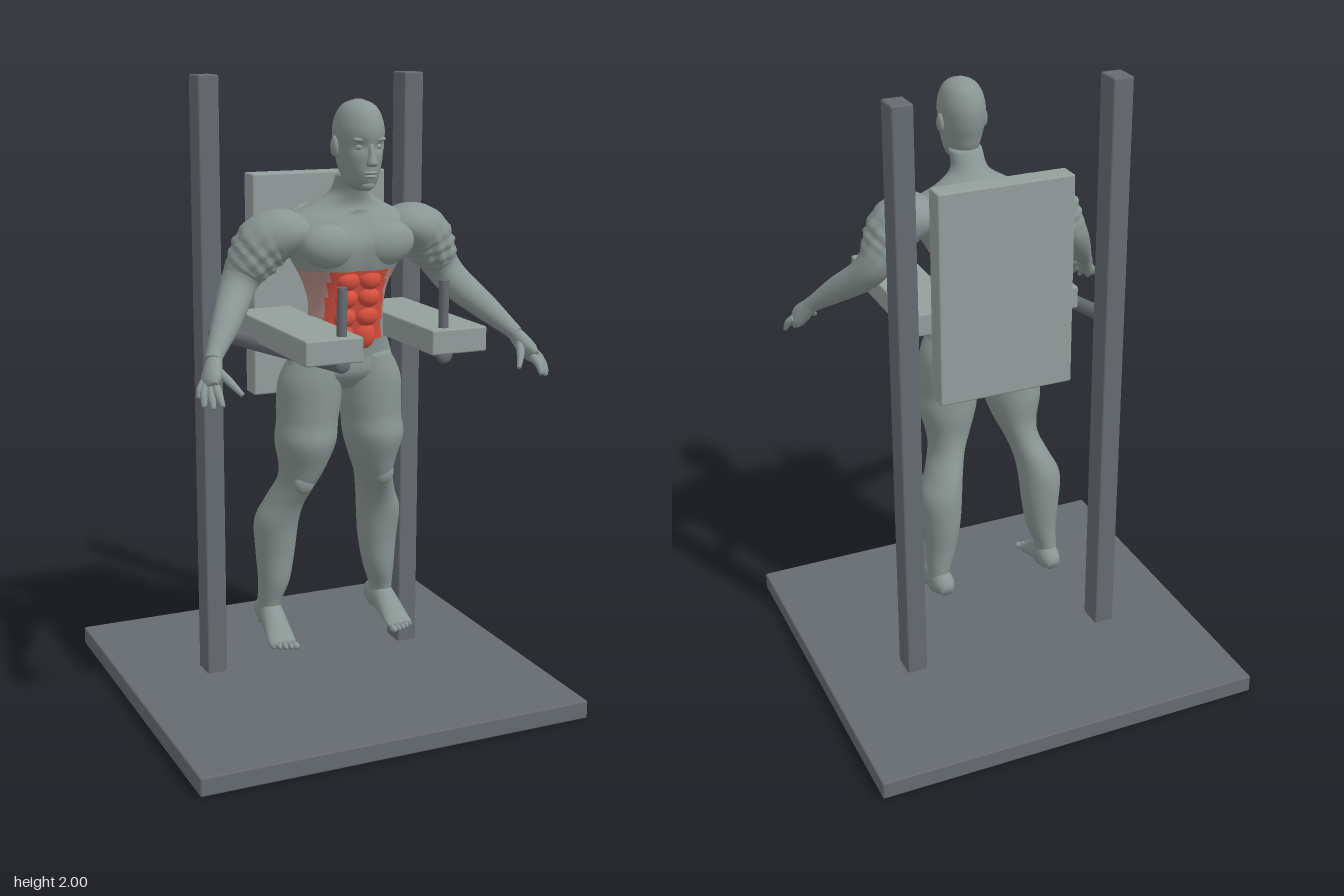
import * as THREE from 'three';
import { RoundedBoxGeometry } from 'three/addons/geometries/RoundedBoxGeometry.js';

const mat = (name, color, side = THREE.FrontSide) => {
  const m = new THREE.MeshStandardMaterial({ color, side });
  m.name = name;
  return m;
};

export function createModel() {
  const root = new THREE.Group();
  root.name = 'exerciseStation';
  const frame = mat('frameGrey', 0x666b70);
  const pad = mat('padGrey', 0x949f9c);
  const skin = mat('bodyGrey', 0x8a9693);
  const red = mat('absRed', 0xd9503f);
  const pink = mat('flankPink', 0xb8908a);
  const V = (x, y, z) => new THREE.Vector3(x, y, z);

  const add = (name, geo, material, parent = root) => {
    const m = new THREE.Mesh(geo, material);
    m.name = name;
    parent.add(m);
    return m;
  };
  // box given by its limits on each axis
  const box = (name, x0, x1, y0, y1, z0, z1, material, r = 0.006) => {
    const m = add(name, new RoundedBoxGeometry(x1 - x0, y1 - y0, z1 - z0, 2, r), material);
    m.position.set((x0 + x1) / 2, (y0 + y1) / 2, (z0 + z1) / 2);
  };
  const ball = (name, p, r, material, parent, rotZ = 0) => {
    const m = add(name, new THREE.SphereGeometry(1, 24, 16), material, parent);
    m.position.set(...p);
    m.scale.set(...r);
    m.rotation.z = rotZ;
    return m;
  };

  // Smooth skin through rings [x, y, z, halfWidth, halfDepth];
  // level keeps the rings horizontal, paint(point) picks a material index per face
  function loft(rings, { steps = 5, sides = 32, level = false, ref = V(0, 0, 1), move, paint } = {}) {
    const path = new THREE.CatmullRomCurve3(rings.map(r => V(r[0], r[1], r[2])), false, 'catmullrom');
    const size = new THREE.CatmullRomCurve3(rings.map(r => V(r[3], r[4], 0)), false, 'catmullrom');
    const n = (rings.length - 1) * steps;
    const pts = [], index = [];
    for (let i = 0; i <= n; i++) {
      const c = path.getPoint(i / n), s = size.getPoint(i / n);
      const t = level ? V(0, 1, 0) : path.getTangent(i / n);
      const side = V(0, 0, 0).crossVectors(t, ref).normalize();
      const fwd = V(0, 0, 0).crossVectors(side, t);
      for (let j = 0; j < sides; j++) {
        const a = (j / sides) * Math.PI * 2;
        const p = c.clone().addScaledVector(side, s.x * Math.sin(a)).addScaledVector(fwd, s.y * Math.cos(a));
        if (move) move(p, i / n, a, c);
        pts.push(p);
      }
    }
    const first = pts.push(path.getPoint(0)) - 1, last = pts.push(path.getPoint(1)) - 1;
    const buckets = [[], [], []];
    const tri = (a, b, c, k) => buckets[k].push(a, b, c);
    for (let j = 0; j < sides; j++) {
      const k = (j + 1) % sides;
      tri(first, k, j, 0);
      for (let i = 0; i < n; i++) {
        const a = i * sides + j, b = i * sides + k, c = b + sides, d = a + sides;
        const g = paint ? paint(pts[a].clone().add(pts[c]).multiplyScalar(0.5)) : 0;
        tri(a, b, c, g);
        tri(a, c, d, g);
      }
      tri(last, n * sides + j, n * sides + k, 0);
    }
    const geo = new THREE.BufferGeometry().setFromPoints(pts);
    buckets.forEach((b, g) => {
      if (paint) geo.addGroup(index.length, b.length, g);
      for (const v of b) index.push(v);
    });
    geo.setIndex(index);
    geo.computeVertexNormals();
    return geo;
  }

  // Frame and pads
  box('basePlate', -0.65, 0.65, 0, 0.06, -0.622, 0.622, frame);
  box('backPad', -0.226, 0.226, 1.0, 1.7, -0.088, -0.014, pad);
  for (const s of [1, -1]) {
    const X = (a, b) => (s > 0 ? [a, b] : [-b, -a]);
    box('post', ...X(0.315, 0.383), 0.05, 2, -0.145, -0.058, frame);
    box('armPad', ...X(0.11, 0.29), 1.21, 1.285, 0, 0.55, pad);
    const grip = add('handGrip', new THREE.CylinderGeometry(0.015, 0.015, 0.15, 20), frame);
    grip.position.set(s * 0.163, 1.35, 0.515);
    const bar = new THREE.LineCurve3(V(s * 0.352, 1.206, -0.1), V(s * 0.165, 1.202, 0.525));
    add('supportBar', new THREE.TubeGeometry(bar, 4, 0.024, 16), frame);
    ball('barEnd', [s * 0.165, 1.202, 0.523], [0.024, 0.024, 0.012], frame, root);
  }

  // Figure
  const body = new THREE.Group();
  body.name = 'figure';
  root.add(body);

  // Torso, with the worked belly in red and the flanks in pink
  const paint = p => {
    const x = Math.abs(p.x);
    if (p.z > 0.17 && x < 0.095 && p.y > 1.185 + x * 0.3 && p.y < 1.43) return 1;
    return p.z > 0.1 && p.y > 1.28 && p.y < 1.425 ? 2 : 0;
  };
  add('torso', loft([
    [0, 1.05, 0.14, 0.07, 0.06], [0, 1.10, 0.145, 0.17, 0.095], [0, 1.16, 0.147, 0.165, 0.096],
    [0, 1.22, 0.165, 0.14, 0.09], [0, 1.30, 0.185, 0.12, 0.09], [0, 1.38, 0.182, 0.135, 0.108],
    [0, 1.46, 0.19, 0.18, 0.122], [0, 1.52, 0.19, 0.215, 0.125], [0, 1.58, 0.18, 0.2, 0.1],
    [0, 1.62, 0.18, 0.125, 0.075], [0, 1.66, 0.205, 0.062, 0.06], [0, 1.72, 0.24, 0.052, 0.055],
  ], {
    level: true, sides: 48, paint,
    // spine and breastbone grooves
    move: (p, u, a, c) => {
      if (p.y > 1.2 && p.y < 1.6) p.z -= Math.sign(p.z - c.z) * 0.014 * Math.exp(-((p.x / 0.025) ** 2));
    },
  }), [skin, red, pink], body);

  // Head
  add('head', loft([
    [0, 1.672, 0.295, 0.022, 0.035], [0, 1.69, 0.285, 0.042, 0.06], [0, 1.72, 0.278, 0.054, 0.08],
    [0, 1.76, 0.273, 0.064, 0.088], [0, 1.80, 0.268, 0.07, 0.094], [0, 1.85, 0.268, 0.073, 0.097],
    [0, 1.895, 0.268, 0.062, 0.082], [0, 1.922, 0.268, 0.042, 0.054], [0, 1.936, 0.268, 0.01, 0.012],
  ], {
    level: true,
    // hollow the eye sockets
    move: p => {
      if (p.z > 0.3) p.z -= 0.013 * Math.exp(-(((Math.abs(p.x) - 0.03) / 0.016) ** 2) - ((p.y - 1.802) / 0.014) ** 2);
    },
  }), skin, body);
  add('nose', loft([
    [0, 1.745, 0.36, 0.013, 0.012], [0, 1.755, 0.365, 0.017, 0.019],
    [0, 1.78, 0.36, 0.01, 0.014], [0, 1.812, 0.352, 0.008, 0.01],
  ], { level: true, sides: 14 }), skin, body);
  ball('upperLip', [0, 1.727, 0.354], [0.023, 0.006, 0.012], skin, body);
  ball('lowerLip', [0, 1.716, 0.352], [0.02, 0.006, 0.012], skin, body);
  ball('chin', [0, 1.69, 0.333], [0.022, 0.016, 0.016], skin, body);

  // Stomach muscles
  [[1.4, 0.278], [1.345, 0.268], [1.285, 0.255], [1.225, 0.238]].forEach(([y, z], i) => {
    for (const s of [1, -1]) ball('abdominal', [s * 0.037, y, z], [0.036, i === 3 ? 0.045 : 0.031, 0.027], red, body);
  });

  for (const s of [1, -1]) {
    const flip = rings => rings.map(([x, ...r]) => [s * x, ...r]);
    ball('ear', [s * 0.073, 1.8, 0.262], [0.012, 0.031, 0.019], skin, body);
    ball('eye', [s * 0.03, 1.801, 0.338], [0.012, 0.009, 0.01], skin, body);
    ball('brow', [s * 0.03, 1.822, 0.345], [0.023, 0.008, 0.012], skin, body, s * 0.1);
    ball('chestMuscle', [s * 0.092, 1.505, 0.266], [0.095, 0.068, 0.058], skin, body, s * 0.15);
    ball('shoulderBlade', [s * 0.1, 1.53, 0.112], [0.085, 0.09, 0.048], skin, body);
    ball('glute', [s * 0.085, 1.09, 0.1], [0.08, 0.085, 0.06], skin, body);

    // Arm, crumpled around the upper half
    add('arm', loft(flip([
      [0.14, 1.545, 0.185, 0.04, 0.075], [0.2, 1.545, 0.185, 0.07, 0.1], [0.26, 1.52, 0.178, 0.082, 0.093],
      [0.305, 1.462, 0.17, 0.07, 0.082], [0.338, 1.41, 0.168, 0.056, 0.066], [0.372, 1.358, 0.2, 0.052, 0.052],
      [0.43, 1.292, 0.278, 0.042, 0.042], [0.485, 1.23, 0.345, 0.027, 0.028], [0.5, 1.21, 0.365, 0.024, 0.03],
    ]), {
      steps: 8, sides: 40,
      move: (p, u, a, c) => {
        const w = Math.exp(-(((u - 0.35) / 0.09) ** 2));
        p.lerp(c, -0.12 * w * Math.sin(7 * a + 40 * u) * Math.cos(4 * a - 60 * u));
      },
    }), skin, body);

    // Hand
    add('palm', loft(flip([
      [0.492, 1.22, 0.355, 0.02, 0.026], [0.508, 1.19, 0.385, 0.026, 0.034],
      [0.523, 1.163, 0.41, 0.025, 0.04], [0.532, 1.146, 0.428, 0.015, 0.034],
    ]), { sides: 20 }), skin, body);
    const fingers = [
      [0.54, 1.16, 0.4, 0.566, 1.122, 0.425], [0.54, 1.155, 0.415, 0.56, 1.102, 0.455],
      [0.528, 1.15, 0.428, 0.541, 1.1, 0.482], [0.517, 1.152, 0.44, 0.517, 1.108, 0.495],
      [0.495, 1.19, 0.395, 0.45, 1.13, 0.472],
    ];
    for (const [x, y, z, u, v, w] of fingers) {
      add('finger', loft(flip([
        [x, y, z, 0.013, 0.013], [(x + u) / 2 + 0.003, (y + v) / 2 + 0.003, (z + w) / 2 + 0.003, 0.012, 0.012],
        [u, v, w, 0.007, 0.007],
      ]), { sides: 12 }), skin, body);
    }

    // Leg
    add('leg', loft(flip([
      [0.2, 0.25, 0.025, 0.034, 0.045], [0.2, 0.32, 0.03, 0.036, 0.048], [0.187, 0.4, 0.04, 0.05, 0.06],
      [0.182, 0.5, 0.04, 0.063, 0.07], [0.18, 0.6, 0.048, 0.07, 0.08], [0.16, 0.67, 0.068, 0.06, 0.083],
      [0.135, 0.74, 0.105, 0.057, 0.087], [0.122, 0.8, 0.125, 0.072, 0.092], [0.117, 0.88, 0.138, 0.095, 0.108],
      [0.11, 0.945, 0.137, 0.096, 0.104], [0.105, 1.0, 0.135, 0.1, 0.108], [0.1, 1.08, 0.14, 0.098, 0.105],
      [0.085, 1.16, 0.147, 0.072, 0.09],
    ]), { level: true }), skin, body);
    ball('kneecap', [s * 0.138, 0.755, 0.175], [0.035, 0.04, 0.025], skin, body);

    // Foot
    add('foot', loft(flip([
      [0.198, 0.265, -0.042, 0.02, 0.016], [0.198, 0.28, -0.015, 0.036, 0.042], [0.2, 0.282, 0.04, 0.038, 0.05],
      [0.204, 0.257, 0.1, 0.042, 0.034], [0.207, 0.232, 0.15, 0.045, 0.019], [0.208, 0.224, 0.178, 0.042, 0.012],
    ]), { ref: V(0, 1, 0), sides: 24 }), skin, body);
    for (let i = 0; i < 5; i++) {
      ball('toe', [s * (0.174 + i * 0.017), 0.221, 0.19 - i * i * 0.0018], [i ? 0.009 : 0.012, 0.011, 0.018], skin, body);
    }
  }
  return root;
}
